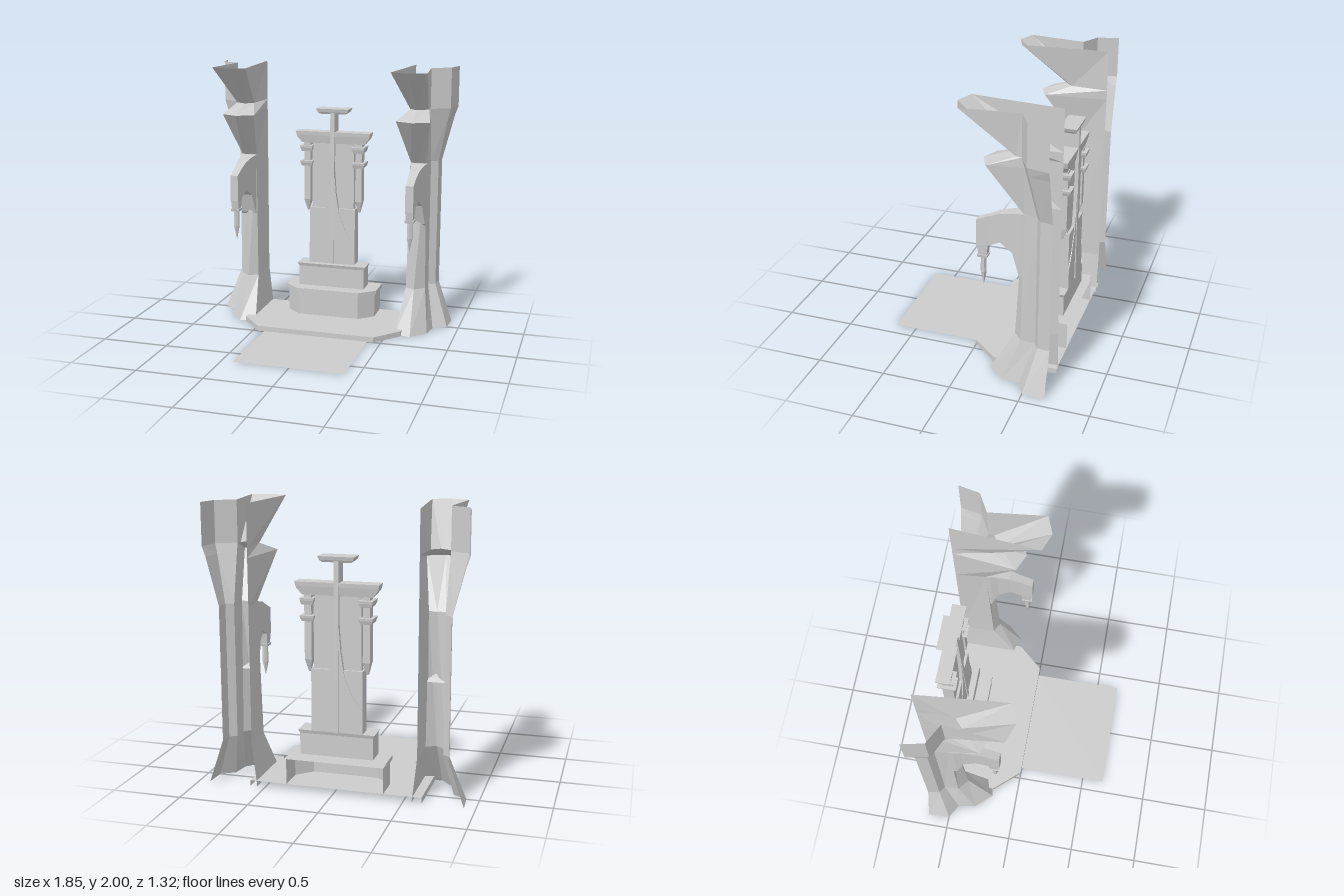
import * as THREE from 'three';

const stone = new THREE.MeshStandardMaterial({ color: 0xcccccc, flatShading: true, side: THREE.DoubleSide });
stone.name = 'pale stone';

function add(parent, name, geometry) {
  const mesh = new THREE.Mesh(geometry, stone);
  mesh.name = name;
  parent.add(mesh);
  return mesh;
}

// Skin a list of rings (each a list of [x, y, z]); closed joins the ring ends.
function loft(rings, { closed = true, start = false, end = false } = {}) {
  const out = [];
  const n = rings[0].length;
  const tri = (a, b, c) => out.push(...a, ...b, ...c);
  for (let i = 0; i < rings.length - 1; i++) {
    for (let j = 0; j < (closed ? n : n - 1); j++) {
      const k = (j + 1) % n;
      const [a, b, c, d] = [rings[i][j], rings[i][k], rings[i + 1][k], rings[i + 1][j]];
      tri(a, b, c);
      tri(a, c, d);
    }
  }
  const first = rings[0], last = rings[rings.length - 1];
  for (let j = 1; j < n - 1; j++) {
    if (start) tri(first[0], first[j + 1], first[j]);
    if (end) tri(last[0], last[j], last[j + 1]);
  }
  const g = new THREE.BufferGeometry();
  g.setAttribute('position', new THREE.Float32BufferAttribute(out, 3));
  g.computeVertexNormals();
  return g;
}

// Stacked rectangles: each level is [y, halfWidth, halfDepth].
function stack(levels, cx, cz) {
  return loft(levels.map(([y, w, d]) => [
    [cx - w, y, cz + d], [cx + w, y, cz + d], [cx + w, y, cz - d], [cx - w, y, cz - d],
  ]), { start: true, end: true });
}

// Half octagon step, open at the back.
function step(cx, halfW, frontHalfW, front, corner, y0, y1) {
  const plan = [[-halfW, -0.66], [-halfW, corner], [-frontHalfW, front],
    [frontHalfW, front], [halfW, corner], [halfW, -0.66]];
  return loft([y0, y1].map(y => plan.map(([x, z]) => [cx + x, y, z])), { closed: false, end: true });
}

function slab(points, depth, cz) {
  const shape = new THREE.Shape(points.map(([x, y]) => new THREE.Vector2(x, y)));
  const g = new THREE.ExtrudeGeometry(shape, { depth, bevelEnabled: false });
  return g.translate(0, 0, cz - depth / 2);
}

// Column sections: y, then [x, z] from the inner back edge round to the outer back edge.
const columnSections = [
  [0, [[0.56, -0.66], [0.56, -0.22], [0.68, -0.19], [0.79, -0.31], [0.81, -0.44], [0.91, -0.5], [0.92, -0.66]]],
  [0.32, [[0.595, -0.66], [0.6, -0.41], [0.67, -0.37], [0.745, -0.435], [0.75, -0.54], [0.8, -0.572], [0.812, -0.66]]],
  [1.29, [[0.595, -0.66], [0.615, -0.44], [0.67, -0.43], [0.73, -0.44], [0.748, -0.54], [0.8, -0.575], [0.812, -0.66]]],
  [1.63, [[0.595, -0.66], [0.545, -0.2], [0.67, -0.145], [0.795, -0.2], [0.755, -0.45], [0.875, -0.515], [0.9, -0.66]]],
  [1.7, [[0.595, -0.66], [0.61, -0.39], [0.67, -0.335], [0.748, -0.39], [0.755, -0.43], [0.892, -0.505], [0.925, -0.66]]],
  [2, [[0.595, -0.66], [0.54, -0.02], [0.67, 0.03], [0.8, -0.02], [0.755, -0.43], [0.892, -0.505], [0.925, -0.66]]],
];

// Arm stations: z, bottom y, top y, half width.
const armStations = [
  [-0.45, 0.8, 1.29, 0.062], [-0.41, 0.83, 1.287, 0.06], [-0.36, 0.98, 1.275, 0.045],
  [-0.27, 1.04, 1.255, 0.036], [-0.19, 1.0, 1.22, 0.03], [-0.1, 0.985, 1.18, 0.03],
];

function hornedColumn(side) {
  const group = new THREE.Group();
  group.name = side > 0 ? 'leftColumn' : 'rightColumn';
  const rings = columnSections.map(([y, plan]) => {
    const ring = plan.map(([x, z]) => [side * x, y, z]);
    return side > 0 ? ring : ring.reverse();
  });
  add(group, 'columnShell', loft(rings, { closed: false }));

  // Hooked arm and hanging spike
  const cx = side * 0.675;
  add(group, 'hookArm', loft(armStations.map(([z, y0, y1, w]) => [
    [cx - w, y0, z], [cx + w, y0, z], [cx + w, y1, z], [cx - w, y1, z],
  ]), { end: true }));
  add(group, 'lanternNeck', stack([[0.92, 0.026, 0.03], [1, 0.03, 0.04]], cx, -0.143));
  add(group, 'lanternCollar', stack([[0.9, 0.03, 0.033], [0.92, 0.034, 0.037]], cx, -0.143));
  const spike = new THREE.LatheGeometry(
    [[0, 0.675], [0.022, 0.78], [0.02, 0.9]].map(p => new THREE.Vector2(...p)), 6);
  add(group, 'lanternSpike', spike.translate(cx, 0, -0.143));
  return group;
}

function monument() {
  const group = new THREE.Group();
  group.name = 'monument';
  const cx = -0.0165, cz = -0.557;

  // Pedestal steps
  add(group, 'lowerStep', step(-0.01, 0.35, 0.24, -0.37, -0.47, 0.04, 0.225));
  add(group, 'lowerStepCap', step(-0.01, 0.366, 0.247, -0.355, -0.46, 0.225, 0.255));
  add(group, 'upperStep', stack(
    [[0.255, 0.263, 0.072], [0.41, 0.263, 0.072], [0.435, 0.275, 0.08]], -0.01, -0.532));

  // Slab with its shouldered, double arched head
  add(group, 'lowerSlab', stack([[0.435, 0.183, 0.05], [0.88, 0.183, 0.05]], cx, cz));
  const half = [[0.168, 0.86], [0.168, 1.37], [0.14, 1.4], [0.11, 1.41], [0.06, 1.41], [0.018, 1.385]];
  const mirror = pts => [...pts, ...pts.map(([x, y]) => [-x, y]).reverse()].map(([x, y]) => [x + cx, y]);
  add(group, 'upperSlab', slab(mirror(half), 0.06, cz));

  // Flared fin and central mast
  const flare = [[0.183, 0.435], [0.183, 0.6], [0.11, 0.7], [0.055, 0.84], [0.03, 1], [0.017, 1.18]];
  add(group, 'flaredFin', slab(mirror(flare), 0.112, cz));
  add(group, 'mast', stack([[0.435, 0.017, 0.065], [1.63, 0.017, 0.055]], cx, cz));
  add(group, 'mastCap', stack([[1.62, 0.1, 0.05], [1.635, 0.118, 0.058], [1.66, 0.128, 0.064]], cx, cz));

  // Crossbeam
  add(group, 'crossbeam', stack(
    [[1.39, 0.248, 0.036], [1.435, 0.285, 0.045], [1.45, 0.29, 0.048], [1.48, 0.297, 0.051]], cx, cz));

  // Hanging posts with two collars each
  for (const s of [-1, 1]) {
    const px = cx + s * 0.206;
    add(group, 'hangingPost', stack(
      [[0.85, 0.006, 0.01], [0.94, 0.025, 0.04], [1.39, 0.025, 0.04]], px, cz));
    for (const [y, h] of [[1.21, 0.04], [1.325, 0.045]]) {
      add(group, 'postCollar', stack(
        [[y, 0.038, 0.058], [y + h * 0.6, 0.048, 0.066], [y + h, 0.05, 0.068]], px, cz));
    }
  }
  return group;
}

export function createModel() {
  const model = new THREE.Group();
  model.name = 'shrine';
  add(model, 'platform', step(-0.009, 0.62, 0.453, 0, -0.19, 0, 0.04));
  add(model, 'forecourt', new THREE.PlaneGeometry(0.81, 0.66).rotateX(-Math.PI / 2).translate(-0.008, 0.001, 0.33));
  model.add(monument(), hornedColumn(1), hornedColumn(-1));
  return model;
}
